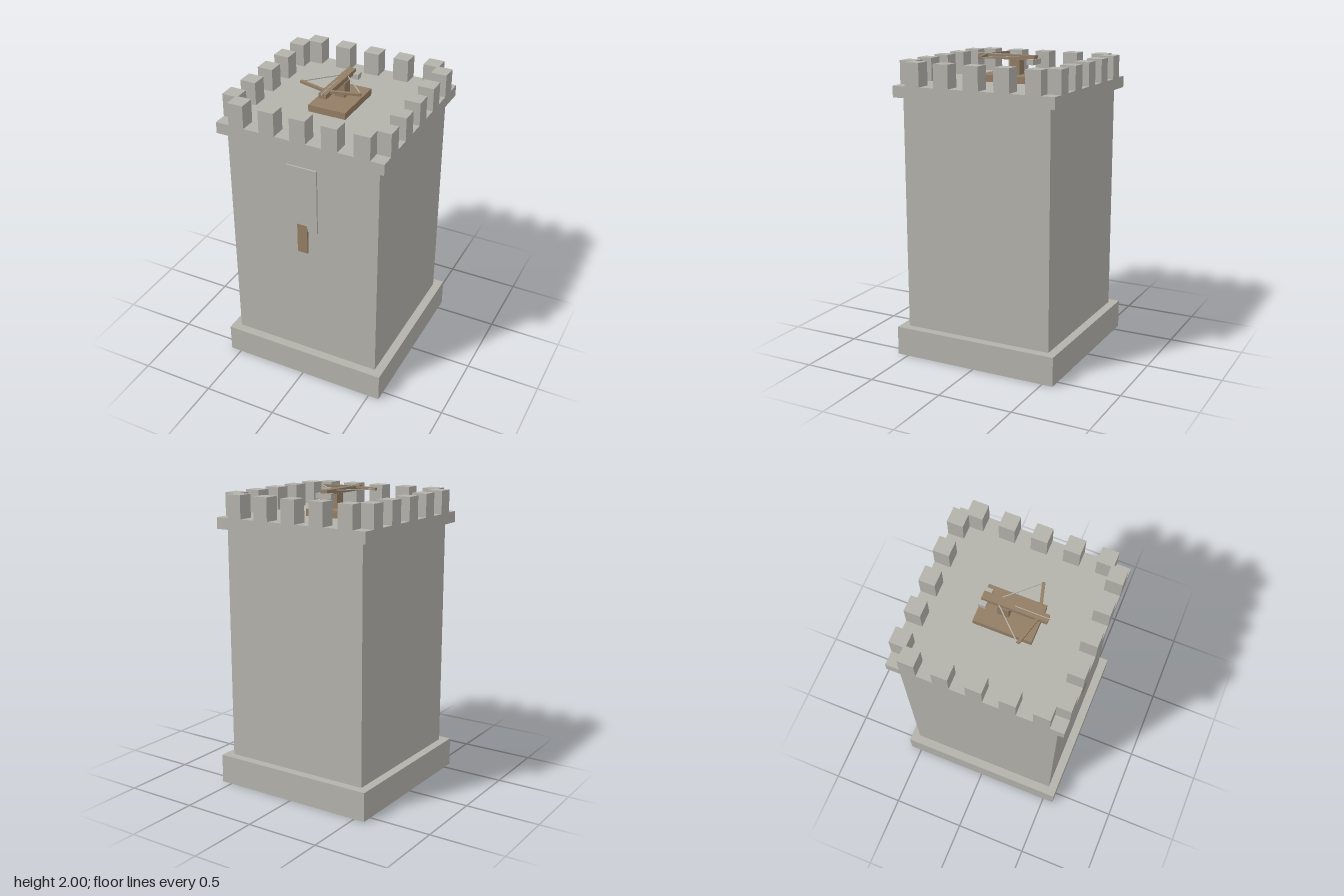
import * as THREE from 'three';

export function createModel() {
  const model = new THREE.Group();
  model.name = 'watchtower';

  const stone = new THREE.MeshStandardMaterial({ color: 0xb3b2ab });
  stone.name = 'stone grey';
  const wood = new THREE.MeshStandardMaterial({ color: 0x937e65 });
  wood.name = 'wood brown';

  // Box given by its extents on each axis
  function block(name, material, [x0, x1], [y0, y1], [z0, z1], parent = model) {
    const mesh = new THREE.Mesh(new THREE.BoxGeometry(x1 - x0, y1 - y0, z1 - z0), material);
    mesh.position.set((x0 + x1) / 2, (y0 + y1) / 2, (z0 + z1) / 2);
    mesh.name = name;
    parent.add(mesh);
    return mesh;
  }

  // Square beam running between two points
  function beam(name, material, from, to, width, height, parent) {
    const a = new THREE.Vector3(...from), b = new THREE.Vector3(...to);
    const mesh = new THREE.Mesh(new THREE.BoxGeometry(width, height, a.distanceTo(b)), material);
    mesh.position.copy(a).add(b).multiplyScalar(0.5);
    mesh.lookAt(b);
    mesh.name = name;
    parent.add(mesh);
    return mesh;
  }

  // Tower masonry
  block('base', stone, [-0.575, 0.575], [0, 0.195], [-0.575, 0.575]);
  block('shaft', stone, [-0.517, 0.517], [0.195, 1.75], [-0.517, 0.517]);
  block('roofSlab', stone, [-0.565, 0.565], [1.75, 1.825], [-0.565, 0.565]);

  // Battlements: five merlons a side, with open corners
  const battlements = new THREE.Group();
  battlements.name = 'battlements';
  model.add(battlements);
  const half = 0.0525, edge = 0.565 - half;
  for (let i = -2; i <= 2; i++) {
    const c = i * 0.211;
    for (const [x, z] of [[c, edge], [c, -edge], [edge, c], [-edge, c]]) {
      block('merlon', stone, [x - half, x + half], [1.825, 1.977], [z - half, z + half], battlements);
    }
  }

  // Plaque on the front wall with a wooden strip below it
  block('frontPlaque', stone, [-0.104, 0.104], [1.175, 1.63], [0.517, 0.529]);
  block('frontStrip', wood, [-0.035, 0.035], [1.005, 1.215], [0.517, 0.532]);

  // Ballista on the roof
  const ballista = new THREE.Group();
  ballista.name = 'ballista';
  model.add(ballista);
  block('platform', wood, [-0.128, 0.128], [1.825, 1.87], [-0.19, 0.187], ballista);
  block('post', wood, [-0.033, 0.033], [1.87, 1.967], [-0.07, 0.003], ballista);
  block('stock', wood, [-0.026, 0.026], [1.965, 1.997], [-0.173, 0.24], ballista);
  block('winch', stone, [-0.06, 0.06], [1.94, 1.975], [-0.18, -0.133], ballista);
  block('bolt', stone, [-0.002, 0.002], [1.989, 2], [0.03, 0.255], ballista);
  for (const s of [-1, 1]) {
    beam('bowArm', wood, [s * 0.01, 1.989, 0.182], [s * 0.206, 1.989, 0.129], 0.02, 0.016, ballista);
    beam('bowString', stone, [s * 0.201, 1.989, 0.122], [s * 0.022, 1.989, -0.065], 0.006, 0.006, ballista);
  }

  return model;
}
